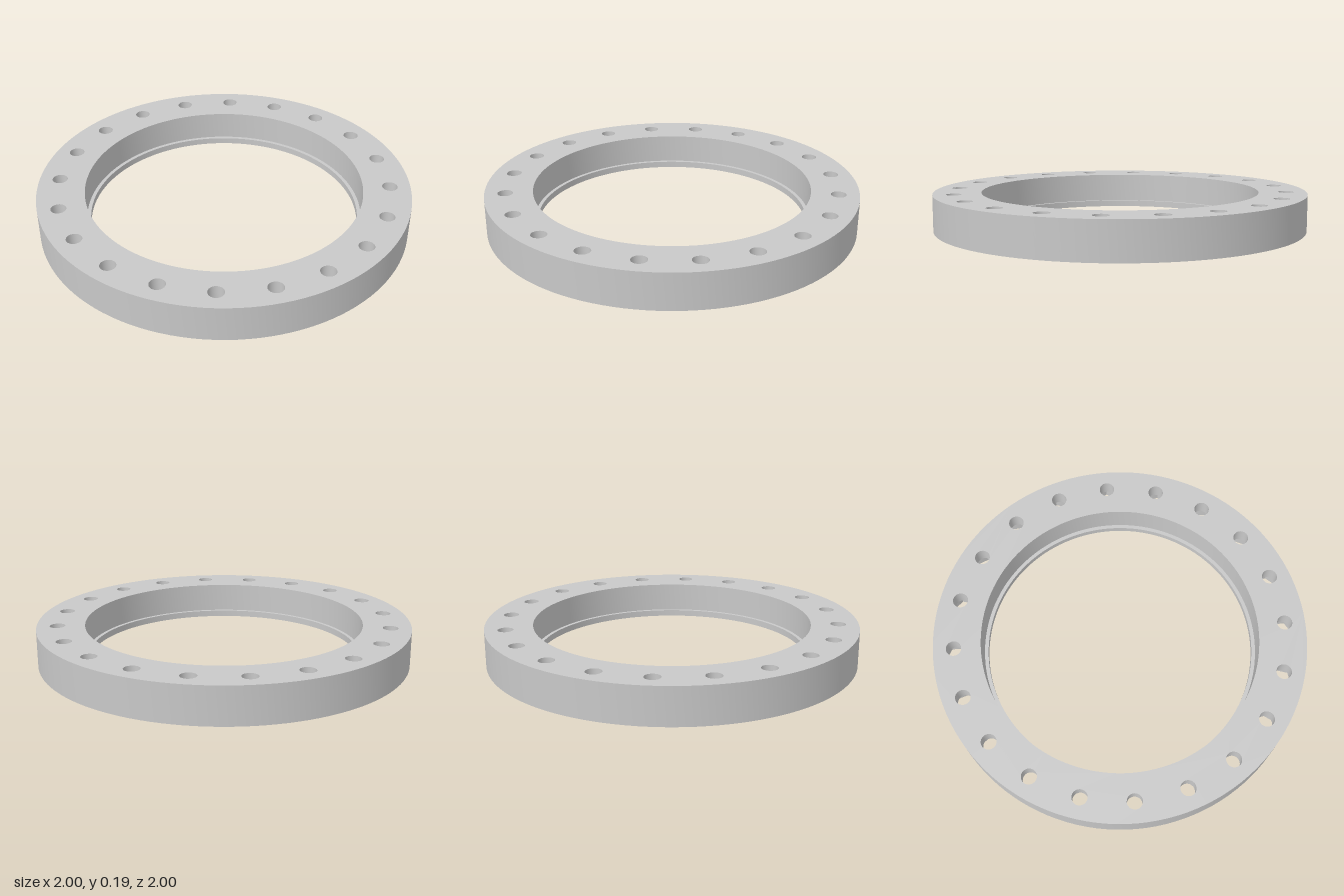
import * as THREE from 'three';
import { toCreasedNormals } from 'three/addons/utils/BufferGeometryUtils.js';

const HEIGHT = 0.195, LEDGE = 0.035, POCKET = 0.1; // heights above the base
const OUTER = 1, INNER = 0.745, LIP = 0.725;       // ring radii
const HOLES = 20, HOLE_CIRCLE = 0.89, BORE = 0.041, NUT = 0.078;
const RING_SIDES = 120, BORE_SIDES = 24;

// Regular polygon with its first corner pointing along angle a
function polygon(radius, sides, cx = 0, cy = 0, a = 0) {
  return Array.from({ length: sides }, (_, i) => {
    const t = a + (i / sides) * Math.PI * 2;
    return new THREE.Vector2(cx + radius * Math.cos(t), cy + radius * Math.sin(t));
  });
}

// Flat ring face with one opening per bolt
function face(innerRadius, openRadius, openSides) {
  const shape = new THREE.Shape(polygon(OUTER, RING_SIDES));
  shape.holes.push(new THREE.Path(polygon(innerRadius, RING_SIDES)));
  for (let i = 0; i < HOLES; i++) {
    const a = (i / HOLES) * Math.PI * 2;
    shape.holes.push(new THREE.Path(
      polygon(openRadius, openSides, HOLE_CIRCLE * Math.cos(a), HOLE_CIRCLE * Math.sin(a), a)));
  }
  return new THREE.ShapeGeometry(shape);
}

// Revolved wall; a profile running downward faces the axis
function wall(profile, sides, crease = 0.5) {
  const points = profile.map(([r, y]) => new THREE.Vector2(r, y));
  return toCreasedNormals(new THREE.LatheGeometry(points, sides), crease);
}

export function createModel() {
  const model = new THREE.Group();
  model.name = 'boltFlange';
  const metal = new THREE.MeshStandardMaterial({ color: 0xc8c8c8 });
  metal.name = 'light grey metal';

  const add = (name, geometry, parent = model) => {
    const mesh = new THREE.Mesh(geometry, metal);
    mesh.name = name;
    parent.add(mesh);
    return mesh;
  };

  // Ring body
  add('outerWall', wall([[OUTER, 0], [OUTER, HEIGHT]], RING_SIDES));
  add('innerWallWithLip',
    wall([[INNER, HEIGHT], [INNER, LEDGE], [LIP, LEDGE], [LIP, 0]], RING_SIDES));
  add('topFace', face(INNER, BORE, BORE_SIDES).rotateX(-Math.PI / 2)).position.y = HEIGHT;
  add('bottomFace', face(LIP, NUT, 6).rotateX(Math.PI / 2));

  // Round bores opening into hexagonal nut pockets underneath
  const boreWall = wall([[BORE, HEIGHT], [BORE, POCKET]], BORE_SIDES);
  const pocketWall = wall([[NUT, POCKET], [NUT, 0]], 6);
  const seat = new THREE.Shape(polygon(NUT, 6, 0, 0, Math.PI / 2));
  seat.holes.push(new THREE.Path(polygon(BORE, BORE_SIDES)));
  const pocketSeat = new THREE.ShapeGeometry(seat).rotateX(Math.PI / 2).translate(0, POCKET, 0);

  for (let i = 0; i < HOLES; i++) {
    const a = (i / HOLES) * Math.PI * 2;
    const hole = new THREE.Group();
    hole.name = 'boltHole' + (i + 1);
    hole.position.set(HOLE_CIRCLE * Math.sin(a), 0, HOLE_CIRCLE * Math.cos(a));
    hole.rotation.y = a;
    add('bore', boreWall, hole);
    add('nutPocket', pocketWall, hole);
    add('nutSeat', pocketSeat, hole);
    model.add(hole);
  }
  return model;
}
